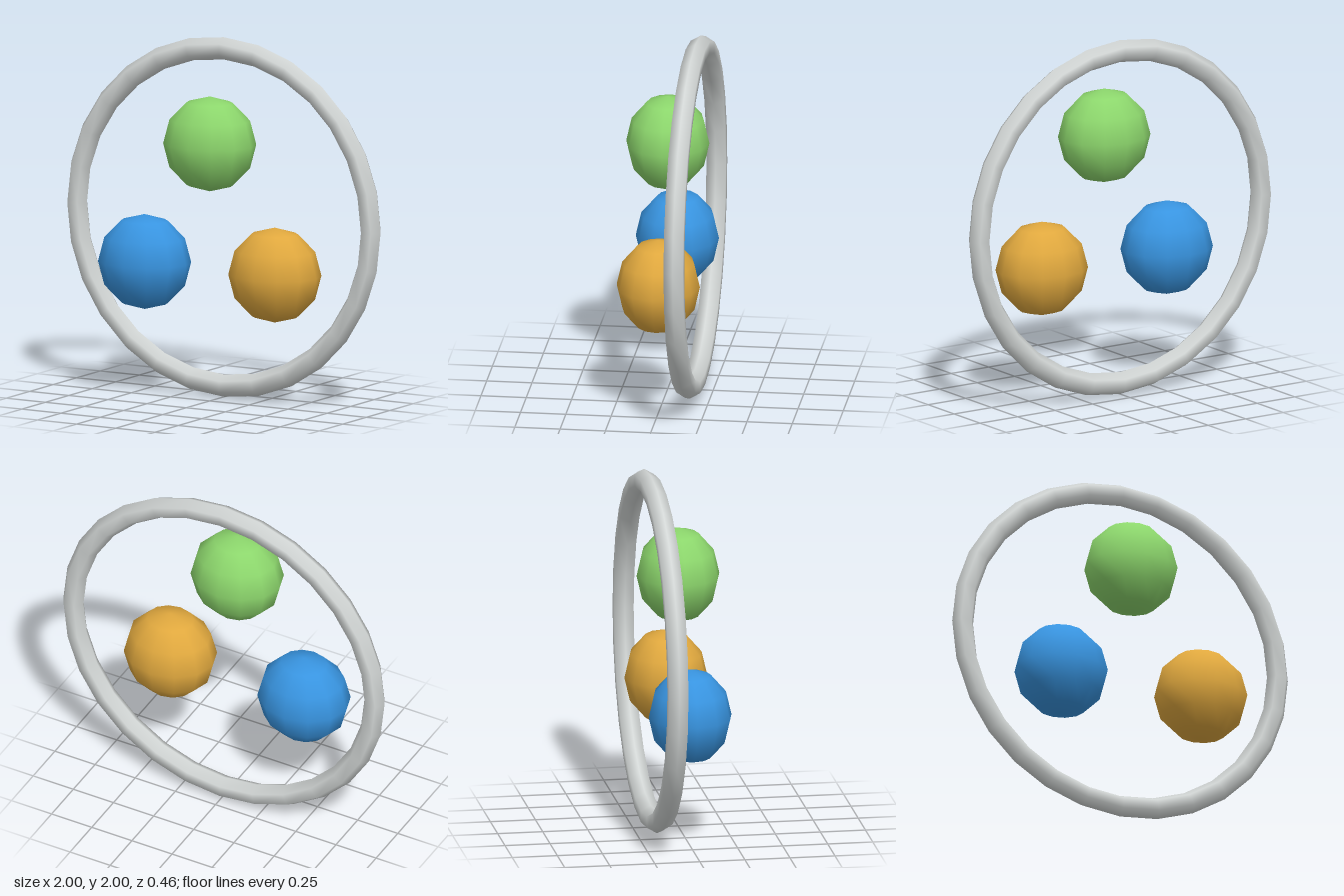
import * as THREE from 'three';

const material = (name, color) => {
  const m = new THREE.MeshStandardMaterial({ color });
  m.name = name;
  return m;
};

export function createModel() {
  const model = new THREE.Group();
  model.name = 'ringWithBalls';

  // Upright ring with a six-sided tube, set behind the middle of the balls
  const ring = new THREE.Mesh(
    new THREE.TorusGeometry(0.938, 0.062, 6, 28),
    material('light grey', 0xd2d6d5)
  );
  ring.name = 'ring';
  ring.position.set(0, 1, -0.152);
  model.add(ring);

  // Three balls, slightly flattened front to back
  const ballGeometry = new THREE.SphereGeometry(0.264, 12, 6);
  ballGeometry.scale(1, 1, 0.87);
  const balls = [
    ['topBall', 0, 1.43, material('green', 0x8cd66c)],
    ['rightBall', -0.416, 0.738, material('blue', 0x3894e0)],
    ['leftBall', 0.416, 0.738, material('amber', 0xe0a83e)],
  ];
  for (const [name, x, y, mat] of balls) {
    const ball = new THREE.Mesh(ballGeometry, mat);
    ball.name = name;
    ball.position.set(x, y, 0);
    model.add(ball);
  }
  return model;
}
